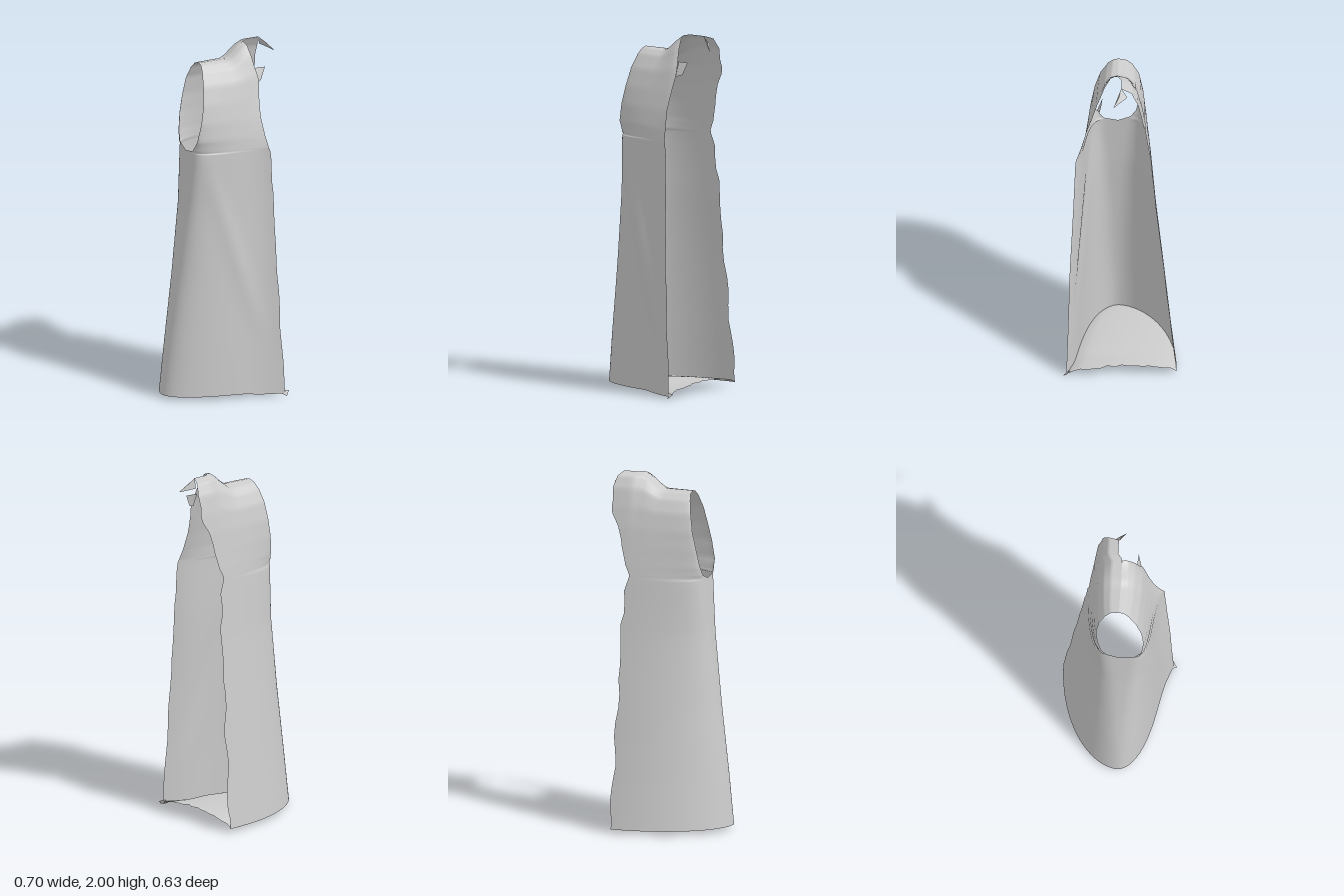
import * as THREE from 'three';
import { mergeGeometries, mergeVertices } from 'three/addons/utils/BufferGeometryUtils.js';

// Panel rows, bottom to top:
// side x, side y, side z, open-edge x, open-edge z, edge flare, neck lift, roundness (below 1 is boxier)
const FRONT_ROWS = [
  [-0.355, 0.022, 0.02, 0.275, 0.24, 0.05, -0.012, 1],
  [-0.325, 0.3, 0.02, 0.255, 0.235, 0.05, 0, 0.9],
  [-0.275, 0.7, 0.02, 0.235, 0.225, 0.05, 0, 0.75],
  [-0.23, 1.1, 0.02, 0.222, 0.212, 0.045, 0, 0.55],
  [-0.205, 1.42, 0.02, 0.21, 0.205, 0.04, 0, 0.35],
  [-0.205, 1.435, 0.1, 0.205, 0.204, 0.038, 0, 0.8],
  [-0.2, 1.5, 0.145, 0.19, 0.197, 0.022, 0, 1],
  [-0.18, 1.6, 0.155, 0.18, 0.18, 0.01, 0, 1],
  [-0.16, 1.7, 0.143, 0.185, 0.158, 0, 0.01, 1],
  [-0.145, 1.8, 0.113, 0.19, 0.13, 0, 0.02, 1],
  [-0.13, 1.875, 0.072, 0.172, 0.088, 0, 0.05, 1],
  [-0.122, 1.905, 0.042, 0.165, 0.052, 0, 0.08, 1],
  [-0.12, 1.912, 0.015, 0.16, 0.015, 0, 0.088, 1],
];
const BACK_ROWS = [
  [-0.355, 0.022, 0.02, 0.25, -0.318, 0, 0, 1.12],
  [-0.325, 0.3, 0.02, 0.24, -0.287, 0, 0, 1.1],
  [-0.275, 0.7, 0.02, 0.23, -0.247, 0, 0, 1],
  [-0.23, 1.1, 0.02, 0.23, -0.205, 0, 0, 0.8],
  [-0.205, 1.42, 0.02, 0.21, -0.175, 0, 0, 0.5],
  [-0.202, 1.45, -0.05, 0.205, -0.172, 0, 0, 0.9],
  [-0.195, 1.5, -0.08, 0.22, -0.167, 0, 0, 1],
  [-0.18, 1.6, -0.1, 0.25, -0.155, 0, 0, 1],
  [-0.16, 1.7, -0.107, 0.27, -0.14, 0, 0.01, 1],
  [-0.145, 1.8, -0.092, 0.3, -0.12, 0, 0.02, 1],
  [-0.13, 1.87, -0.06, 0.305, -0.088, 0, 0.05, 1],
  [-0.122, 1.902, -0.03, 0.3, -0.045, 0, 0.08, 1],
  [-0.12, 1.912, 0.015, 0.285, 0.015, 0, 0.088, 1],
];
const SUB = 5; // strips between rows
const COLS = 28;
const { lerp, smoothstep, clamp } = THREE.MathUtils;

// Repeatable jagged value in -1..1
const jag = (i) => {
  const s = Math.sin(i * 12.9898 + 4.1) * 43758.5453;
  return 2 * (s - Math.floor(s)) - 1;
};
// Jagged line running up the height
const tornLine = (y) => {
  const k = Math.floor(y * 14);
  return lerp(jag(k), jag(k + 1), y * 14 - k);
};

// Grid surface from a point rule; flip reverses the faces
function gridGeometry(cols, rows, point, flip = false) {
  const pos = [], index = [];
  for (let i = 0; i <= rows; i++) {
    for (let j = 0; j <= cols; j++) pos.push(...point(j, i));
  }
  for (let i = 0; i < rows; i++) {
    for (let j = 0; j < cols; j++) {
      const a = i * (cols + 1) + j, b = a + 1, c = a + cols + 1, d = c + 1;
      if (flip) index.push(a, c, b, b, c, d);
      else index.push(a, b, c, b, d, c);
    }
  }
  const g = new THREE.BufferGeometry();
  g.setAttribute('position', new THREE.Float32BufferAttribute(pos, 3));
  g.setIndex(index);
  return g;
}

// Quarter-oval row running from the side seam or armhole to the open edge
function panelPoint(table, ragged, drape) {
  return (j, i) => {
    const r = Math.min(Math.floor(i / SUB), table.length - 2);
    const f = i / SUB - r;
    const [xS, yS, zS, xE, zE, flare, lift, round] = table[r].map((v, k) => lerp(v, table[r + 1][k], f));
    const a = (j / COLS) * Math.PI / 2;
    const t = 1 - Math.cos(a);
    let x = xS + (xE - xS) * t;
    const y = yS + lift * smoothstep(x, 0.03, 0.17);
    let z = zS + (zE - zS) * Math.sin(a) ** round + flare * t ** 6;
    // Back of the neck leans rearward
    z -= 0.3 * lift * smoothstep(x, 0.16, 0.2);
    // Soft diagonal drape, fading out at the side seam
    const d = (x + 0.17 - (1.42 - y) * 0.3) / 0.05;
    z += drape * Math.exp(-d * d) * Math.sin(Math.PI * clamp((y - 0.3) / 1.12, 0, 1)) * smoothstep(t, 0, 0.1);
    if (j === COLS) x += ragged * tornLine(y);
    return [x, y, z];
  };
}

function looseScrap(points) {
  const g = new THREE.BufferGeometry();
  g.setAttribute('position', new THREE.Float32BufferAttribute(points.flat(), 3));
  const index = [];
  for (let k = 1; k < points.length - 1; k++) index.push(0, k, k + 1);
  g.setIndex(index);
  g.computeVertexNormals();
  return g;
}

export function createModel() {
  const group = new THREE.Group();
  const cloth = new THREE.MeshStandardMaterial({ color: 0xcccccc, side: THREE.DoubleSide });
  cloth.name = 'grey cloth';
  const add = (name, geometry) => {
    const mesh = new THREE.Mesh(geometry, cloth);
    mesh.name = name;
    group.add(mesh);
  };

  // Front and back joined smoothly at the side seam, open at the armhole
  const front = panelPoint(FRONT_ROWS, 0.006, 0.01);
  const back = panelPoint(BACK_ROWS, 0.018, 0);
  const rows = (FRONT_ROWS.length - 1) * SUB;
  const body = mergeVertices(mergeGeometries([
    gridGeometry(COLS, rows, front),
    gridGeometry(COLS, rows, back, true),
  ]), 1e-4);
  body.computeVertexNormals();
  add('garmentBody', body);

  // Slightly arched panel closing the hem
  const hem = gridGeometry(COLS, 16, (j, i) => {
    const p = front(j, 0), q = back(j, 0), k = i / 16, t = j / COLS;
    const point = p.map((v, n) => lerp(v, q[n], k));
    point[1] += 0.045 * Math.sqrt(Math.sin(Math.PI * Math.min(k, 0.9999))) * t;
    if (j === COLS && i > 0 && i < 16) point[0] += 0.012 * jag(i + 90);
    return point;
  }, true);
  hem.computeVertexNormals();
  add('hemPanel', hem);

  // Torn scraps at the neck and hem corner
  add('collarTip', looseScrap([[0.27, 2, -0.012], [0.29, 1.95, -0.045], [0.35, 1.92, 0.03], [0.31, 1.965, 0]]));
  add('neckScrap', looseScrap([[0.185, 1.78, 0.125], [0.22, 1.79, 0.11], [0.25, 1.86, 0.1], [0.18, 1.86, 0.095]]));
  add('hemFringe', looseScrap([[0.265, 0.03, 0.28], [0.255, 0.01, 0.27], [0.275, 0, 0.31], [0.3, 0.025, 0.29]]));
  return group;
}
